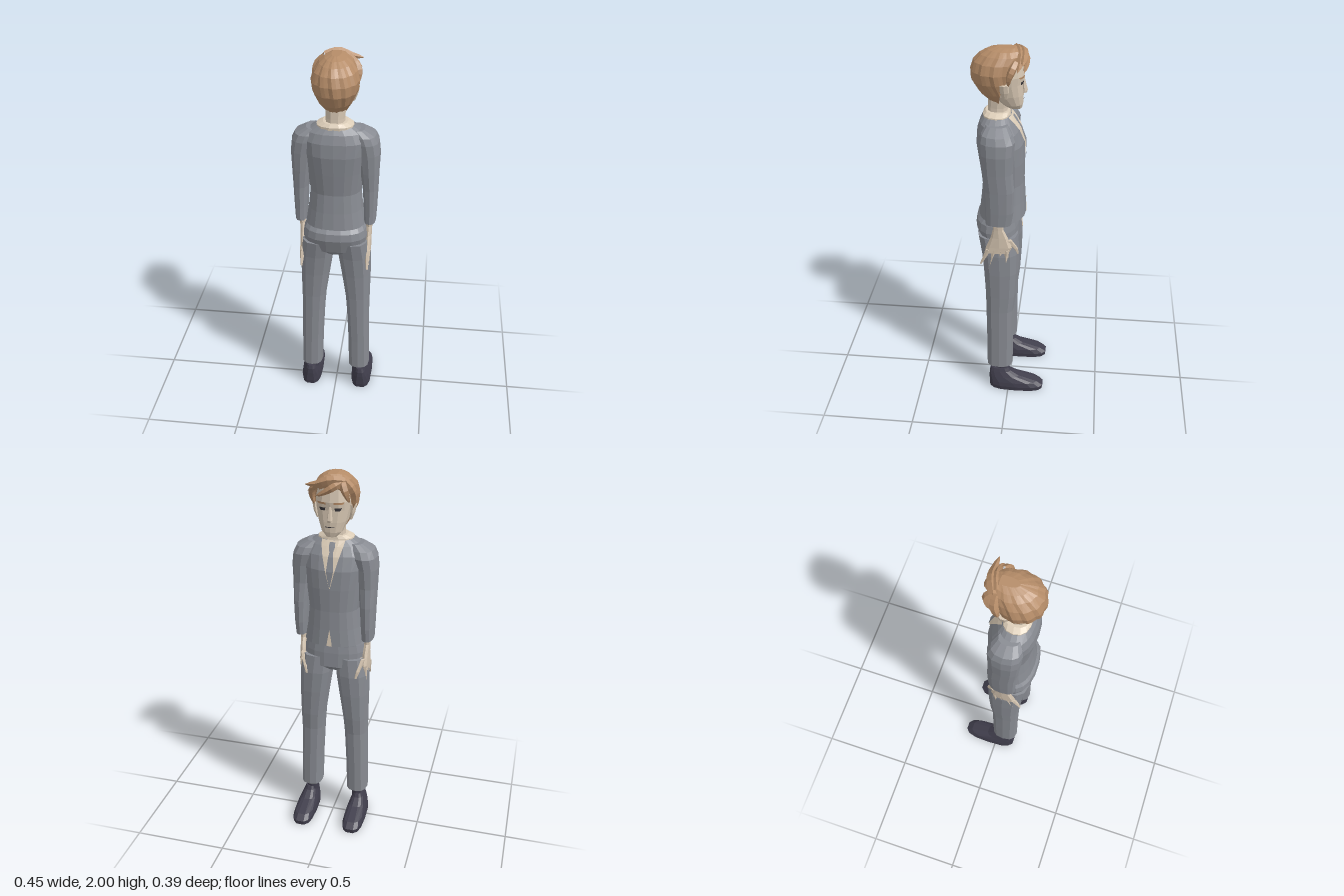
import * as THREE from 'three';

const mat = (name, color) => Object.assign(new THREE.MeshStandardMaterial({ color }), { name });

// Faceted surface over a grid of rows of points; closed rows get end caps
function gridGeometry(rows, closed) {
  const pos = [];
  const tri = (a, b, c) => pos.push(...a, ...b, ...c);
  const n = rows[0].length, last = rows.length - 1;
  for (let i = 0; i < last; i++) {
    for (let j = 0; j < (closed ? n : n - 1); j++) {
      const k = (j + 1) % n;
      tri(rows[i][j], rows[i + 1][j], rows[i][k]);
      tri(rows[i][k], rows[i + 1][j], rows[i + 1][k]);
    }
  }
  if (closed) {
    const mid = r => [0, 1, 2].map(c => r.reduce((s, p) => s + p[c], 0) / n);
    const lo = mid(rows[0]), hi = mid(rows[last]);
    for (let j = 0; j < n; j++) {
      const k = (j + 1) % n;
      tri(lo, rows[0][j], rows[0][k]);
      tri(hi, rows[last][k], rows[last][j]);
    }
  }
  const g = new THREE.BufferGeometry();
  g.setAttribute('position', new THREE.Float32BufferAttribute(pos, 3));
  g.computeVertexNormals();
  return g;
}

// Rings are [y, x0, x1, z0, z1], rounded by a superellipse power
const sp = (v, p) => Math.sign(v) * Math.pow(Math.abs(v), 2 / p);
function loft(rings, n = 12, p = 2.4, s = 1) {
  return gridGeometry(rings.map(([y, x0, x1, z0, z1]) => Array.from({ length: n }, (_, j) => {
    const a = j / n * Math.PI * 2;
    return [s * (x0 + x1) / 2 + (x1 - x0) / 2 * sp(Math.cos(a), p), y,
      (z0 + z1) / 2 + (z1 - z0) / 2 * sp(Math.sin(a), p)];
  })), true);
}

// Depth of the face side (-z) of a loft at a given x and y
function frontZ(rings, x, y, p) {
  let i = 0;
  while (i < rings.length - 2 && y > rings[i + 1][0]) i++;
  const t = (y - rings[i][0]) / (rings[i + 1][0] - rings[i][0]);
  const [, x0, x1, z0, z1] = rings[i].map((v, k) => v + (rings[i + 1][k] - v) * t);
  const u = Math.min(1, Math.abs(2 * x - x0 - x1) / (x1 - x0));
  return (z0 + z1) / 2 - (z1 - z0) / 2 * Math.pow(1 - Math.pow(u, p), 1 / p);
}

// Thin painted panel hugging a loft; rows are [y, xLeft, xRight]
function panel(rings, rows, off, p = 2.4) {
  return gridGeometry(rows.map(([y, a, b]) => [0, 1, 2, 3, 4].map(k => {
    const x = a + (b - a) * k / 4;
    return [x, y, frontZ(rings, x, y, p) - off];
  })), false);
}

// Tapered strand of hair along a curve
function lock(points, w) {
  const curve = new THREE.CatmullRomCurve3(points.map(q => new THREE.Vector3(...q)));
  const segs = 7, sides = 5;
  const g = new THREE.TubeGeometry(curve, segs, w, sides);
  const pos = g.attributes.position, v = new THREE.Vector3();
  for (let i = 0; i <= segs; i++) {
    const c = curve.getPointAt(i / segs), r = 0.6 + 0.4 * Math.sin(i / segs * Math.PI);
    for (let j = 0; j <= sides; j++) {
      const k = i * (sides + 1) + j;
      v.fromBufferAttribute(pos, k).sub(c).multiplyScalar(i === segs ? 0.04 : r * (1 - 0.6 * i / segs)).add(c);
      pos.setXYZ(k, v.x, v.y, v.z);
    }
  }
  const flat = g.toNonIndexed();
  flat.computeVertexNormals();
  return flat;
}

export function createModel() {
  const suit = mat('suit grey', 0x888b92), skin = mat('skin', 0xd6c6b2), shirt = mat('shirt cream', 0xdccdb8);
  const hair = mat('hair brown', 0xb58c68), shoeMat = mat('shoe dark', 0x403e4c), dark = mat('eye dark', 0x38363a);
  const model = new THREE.Group();
  const add = (name, geometry, material, parent = model) => {
    const m = new THREE.Mesh(geometry, material);
    m.name = name;
    parent.add(m);
  };

  // Jacket with shirt opening and tie
  const torso = [
    [1.11, -0.155, 0.155, -0.08, 0.163], [1.2, -0.14, 0.14, -0.075, 0.152], [1.3, -0.13, 0.13, -0.07, 0.143],
    [1.42, -0.145, 0.145, -0.072, 0.158], [1.52, -0.16, 0.16, -0.068, 0.17], [1.59, -0.165, 0.165, -0.045, 0.165],
    [1.635, -0.14, 0.14, -0.018, 0.15], [1.662, -0.095, 0.095, 0.0, 0.13]];
  add('jacket', loft(torso, 20), suit);
  add('shirtFront', panel(torso, [[1.43, -0.002, 0.002], [1.52, -0.024, 0.024], [1.59, -0.043, 0.043],
    [1.635, -0.055, 0.055], [1.662, -0.06, 0.06]], 0.004), shirt);
  add('tie', panel(torso, [[1.44, -0.003, 0.003], [1.52, -0.018, 0.018], [1.59, -0.012, 0.012],
    [1.61, -0.009, 0.009], [1.635, -0.016, 0.016], [1.655, -0.014, 0.014]], 0.008), suit);
  add('shirtHem', panel(torso, [[1.112, -0.015, 0.015], [1.2, -0.001, 0.001]], 0.004), shirt);
  add('collar', loft([[1.645, -0.095, 0.095, -0.005, 0.135], [1.668, -0.092, 0.092, 0.0, 0.137],
    [1.682, -0.062, 0.062, 0.002, 0.125]], 14), shirt);

  // Trousers seat
  add('hips', loft([[0.935, -0.07, 0.07, -0.01, 0.12], [0.97, -0.165, 0.165, -0.048, 0.155],
    [1.05, -0.168, 0.168, -0.045, 0.18], [1.09, -0.16, 0.16, -0.04, 0.175], [1.12, -0.145, 0.145, -0.04, 0.15]], 18), suit);

  for (const s of [1, -1]) {
    const side = s > 0 ? 'left' : 'right';
    const limb = new THREE.Group();
    limb.name = side + 'Limbs';
    model.add(limb);
    const part = (name, rings, m, n, p) => add(side + name, loft(rings, n, p, s), m, limb);

    // Trouser leg, ankle and shoe
    part('Leg', [[0.155, 0.083, 0.182, -0.01, 0.112], [0.165, 0.075, 0.192, -0.022, 0.122], [0.35, 0.07, 0.189, -0.025, 0.122],
      [0.55, 0.06, 0.185, -0.028, 0.124], [0.65, 0.052, 0.186, -0.04, 0.126], [0.8, 0.03, 0.188, -0.05, 0.135],
      [0.92, 0.012, 0.186, -0.054, 0.147], [1.02, 0.005, 0.172, -0.046, 0.165]], suit, 12, 2.6);
    part('Ankle', [[0.08, 0.103, 0.165, 0.0, 0.085], [0.18, 0.105, 0.162, 0.005, 0.08]], shoeMat, 8);
    part('Shoe', [[0, 0.088, 0.202, -0.196, 0.106], [0.025, 0.086, 0.205, -0.2, 0.11], [0.05, 0.09, 0.2, -0.165, 0.11],
      [0.08, 0.1, 0.188, -0.06, 0.11], [0.11, 0.11, 0.176, -0.012, 0.108], [0.13, 0.116, 0.168, 0.0, 0.1]], shoeMat, 14, 3);

    // Sleeve
    part('Sleeve', [[1.125, 0.147, 0.208, -0.018, 0.112], [1.2, 0.143, 0.212, -0.03, 0.114], [1.32, 0.135, 0.216, -0.033, 0.118],
      [1.42, 0.122, 0.219, -0.025, 0.128], [1.52, 0.105, 0.223, -0.03, 0.135], [1.58, 0.09, 0.216, -0.035, 0.138],
      [1.615, 0.08, 0.2, -0.02, 0.132], [1.645, 0.07, 0.145, 0.005, 0.11]], suit, 12);

    // Hand with four fingers and a thumb
    part('Palm', [[0.945, 0.158, 0.186, -0.005, 0.122], [0.98, 0.153, 0.187, -0.022, 0.112], [1.04, 0.153, 0.188, 0.0, 0.088],
      [1.09, 0.157, 0.19, 0.022, 0.075], [1.15, 0.157, 0.193, 0.02, 0.08]], skin, 8);
    [[0.005, 0.012, 0.84], [0.036, 0.055, 0.825], [0.069, 0.1, 0.84], [0.1, 0.142, 0.87]].forEach(([z, tip, y], i) =>
      part('Finger' + (i + 1), [[y, 0.168, 0.178, tip - 0.005, tip + 0.005],
        [(y + 0.96) / 2, 0.161, 0.182, (z + tip) / 2 - 0.011, (z + tip) / 2 + 0.011],
        [0.965, 0.159, 0.186, z - 0.015, z + 0.015]], skin, 6, 2));
    part('Thumb', [[0.92, 0.128, 0.14, -0.054, -0.042], [0.96, 0.132, 0.155, -0.05, -0.022],
      [1.02, 0.148, 0.178, -0.02, 0.025]], skin, 6, 2);
  }

  // Neck and head
  add('neck', loft([[1.6, -0.055, 0.055, 0.01, 0.12], [1.7, -0.048, 0.048, 0.015, 0.112], [1.79, -0.052, 0.052, 0.0, 0.11]], 10), skin);
  const face = [
    [1.695, -0.028, 0.028, -0.054, 0.01], [1.72, -0.053, 0.053, -0.06, 0.045], [1.77, -0.073, 0.073, -0.062, 0.1],
    [1.83, -0.086, 0.086, -0.06, 0.13], [1.87, -0.09, 0.09, -0.066, 0.14], [1.94, -0.083, 0.083, -0.055, 0.13],
    [1.97, -0.055, 0.055, -0.03, 0.1]];
  add('head', loft(face, 16, 2.5), skin);
  add('nose', loft([[1.775, -0.015, 0.015, -0.078, -0.05], [1.785, -0.014, 0.014, -0.083, -0.05],
    [1.85, -0.007, 0.007, -0.066, -0.05]], 6, 2), skin);
  add('mouth', panel(face, [[1.746, -0.022, 0.022], [1.75, -0.024, 0.024]], 0.004, 2.5), dark);
  for (const s of [1, -1]) {
    const span = (y, a, b) => [y, Math.min(a * s, b * s), Math.max(a * s, b * s)];
    add('eye', panel(face, [span(1.83, 0.026, 0.05), span(1.845, 0.022, 0.056)], 0.004, 2.5), dark);
    add('eyebrow', panel(face, [span(1.862, 0.018, 0.062), span(1.872, 0.02, 0.068)], 0.004, 2.5), hair);
    add('ear', loft([[1.77, 0.075, 0.09, 0.01, 0.035], [1.805, 0.08, 0.104, 0.0, 0.045],
      [1.845, 0.08, 0.113, 0.0, 0.05]], 7, 2, s), skin);
  }

  // Combed hair: twisted ridged shell, cut back around the face by a hairline depth
  const cap = [
    [1.728, 0.053, 0.1, 0.055], [1.78, 0.085, 0.155, 0.045], [1.84, 0.109, 0.191, 0.02], [1.89, 0.116, 0.194, -0.025],
    [1.935, 0.104, 0.18, -0.062], [1.968, 0.082, 0.148, -0.075], [1.988, 0.056, 0.112, -0.055], [1.999, 0.024, 0.07, -0.02]];
  const n = 36;
  add('hair', gridGeometry(cap.map(([y, w, back, line], i) => Array.from({ length: n }, (_, j) => {
    const a = j / n * Math.PI * 2 + i * 0.06, r = [0.955, 0.985, 1.01][j % 3];
    const front = Math.min(line, -0.05);
    return [w * r * Math.cos(a), y, Math.max(line, (front + back) / 2 + (back - front) / 2 * r * Math.sin(a))];
  })), true), hair);

  // Fringe swept from the parting
  [
    [[[-0.065, 1.97, -0.03], [0.0, 1.978, -0.06], [0.07, 1.958, -0.066], [0.122, 1.952, -0.064]], 0.03],
    [[[-0.05, 1.98, -0.02], [0.02, 1.975, -0.045], [0.08, 1.94, -0.048], [0.115, 1.915, -0.04]], 0.032],
    [[[-0.055, 1.97, -0.035], [-0.02, 1.95, -0.068], [0.03, 1.92, -0.074], [0.07, 1.9, -0.068]], 0.025],
    [[[-0.055, 1.97, -0.035], [-0.07, 1.94, -0.06], [-0.08, 1.91, -0.055], [-0.09, 1.87, -0.04]], 0.026],
    [[[-0.06, 1.97, -0.02], [-0.092, 1.935, -0.02], [-0.106, 1.89, -0.005], [-0.1, 1.835, 0.0]], 0.028],
    [[[0.07, 1.95, -0.03], [0.1, 1.92, -0.015], [0.105, 1.88, 0.0], [0.095, 1.835, 0.005]], 0.026],
  ].forEach(([points, w], i) => add('hairLock' + (i + 1), lock(points, w), hair));

  return model;
}
